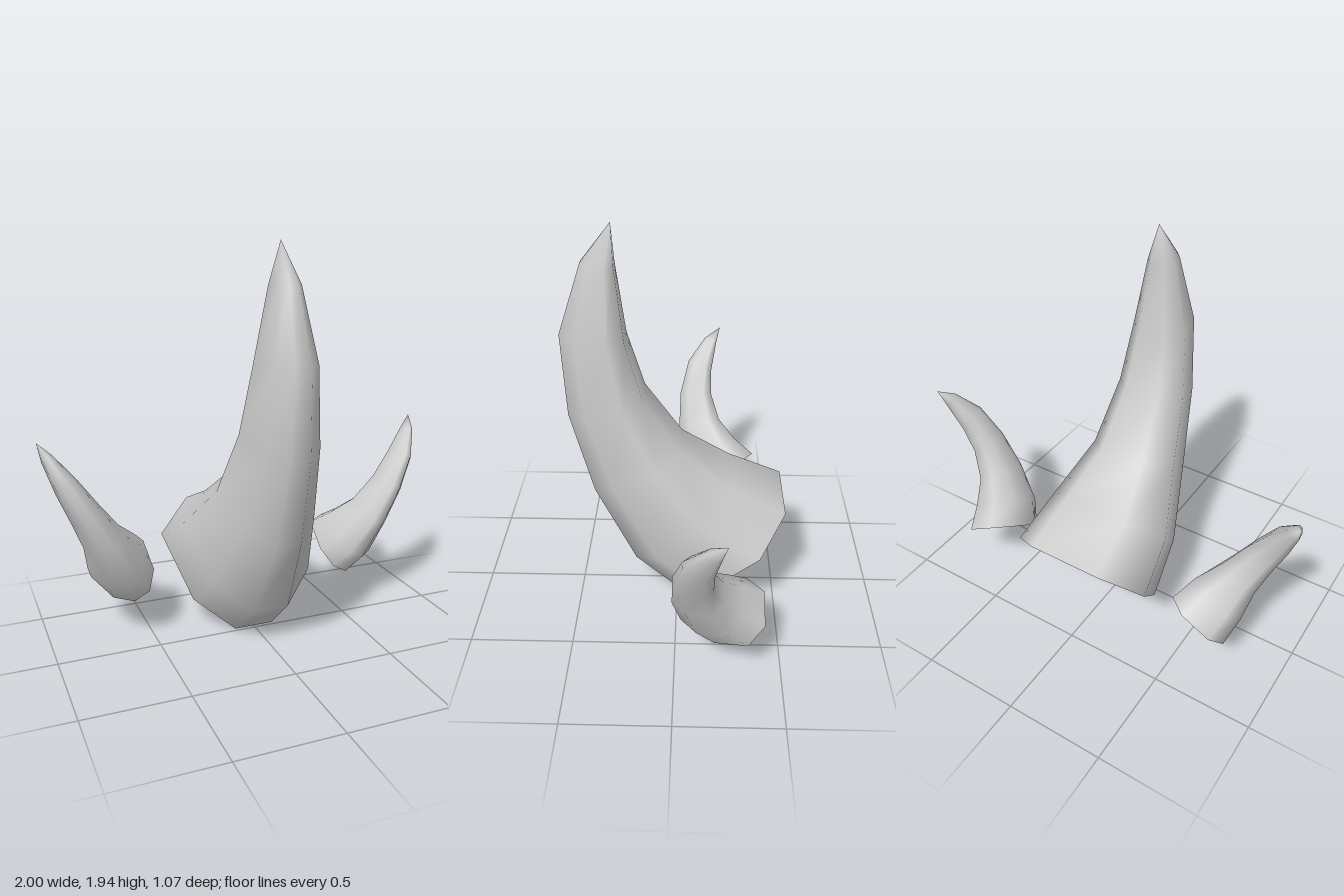
import * as THREE from 'three';

// Horn rings from base to point: [front z, front y, back z, back y, half width]
const RINGS = [
  [-0.02, 0.0, -0.53, 0.56, 0.37],
  [0.21, 0.2, -0.26, 0.68, 0.33],
  [0.41, 0.6, -0.02, 0.85, 0.23],
  [0.52, 1.02, 0.16, 1.12, 0.18],
  [0.54, 1.43, 0.24, 1.4, 0.14],
  [0.43, 1.76, 0.28, 1.75, 0.07],
];
const TIP = [0, 1.94, 0.29];

// Eight-sided section: [position from front (0) to back (1), share of half width]
const HALF = [[0, 0.27], [0.25, 0.76], [0.75, 1], [1, 0.51]];
const SECTION = [...HALF, ...HALF.map(([t, w]) => [t, -w]).reverse()];

// Curved hollow horn, open at the base
function hornGeometry() {
  const positions = [];
  const index = [];
  const n = SECTION.length;
  for (const [fz, fy, bz, by, width] of RINGS) {
    for (const [t, w] of SECTION) {
      positions.push(w * width, fy + (by - fy) * t, fz + (bz - fz) * t);
    }
  }
  const tip = RINGS.length * n;
  positions.push(...TIP);

  for (let r = 0; r < RINGS.length; r++) {
    for (let j = 0; j < n; j++) {
      const a = r * n + j;
      const b = r * n + ((j + 1) % n);
      if (r === RINGS.length - 1) index.push(a, b, tip);
      else index.push(a, b, b + n, a, b + n, a + n);
    }
  }
  const geometry = new THREE.BufferGeometry();
  geometry.setAttribute('position', new THREE.Float32BufferAttribute(positions, 3));
  geometry.setIndex(index);
  geometry.computeVertexNormals();
  return geometry;
}

export function createModel() {
  const model = new THREE.Group();
  model.name = 'hornSet';
  const geometry = hornGeometry();
  const material = new THREE.MeshStandardMaterial({ color: 0xcccccc, side: THREE.DoubleSide });

  function addHorn(name) {
    const horn = new THREE.Mesh(geometry, material);
    horn.name = name;
    model.add(horn);
    return horn;
  }

  // Large middle horn
  addHorn('centerHorn');

  // Smaller side horns, leaning outward and back
  for (const [name, side, x, y, lean] of [
    ['leftHorn', 1, 0.54, 0.195, 30],
    ['rightHorn', -1, 0.557, 0.225, 29.3],
  ]) {
    const horn = addHorn(name);
    horn.position.set(side * x, y, -0.1);
    horn.rotation.set(
      THREE.MathUtils.degToRad(-16), 0, THREE.MathUtils.degToRad(-side * lean), 'ZYX');
    horn.scale.set(0.43, 0.47, 0.47);
  }
  return model;
}
